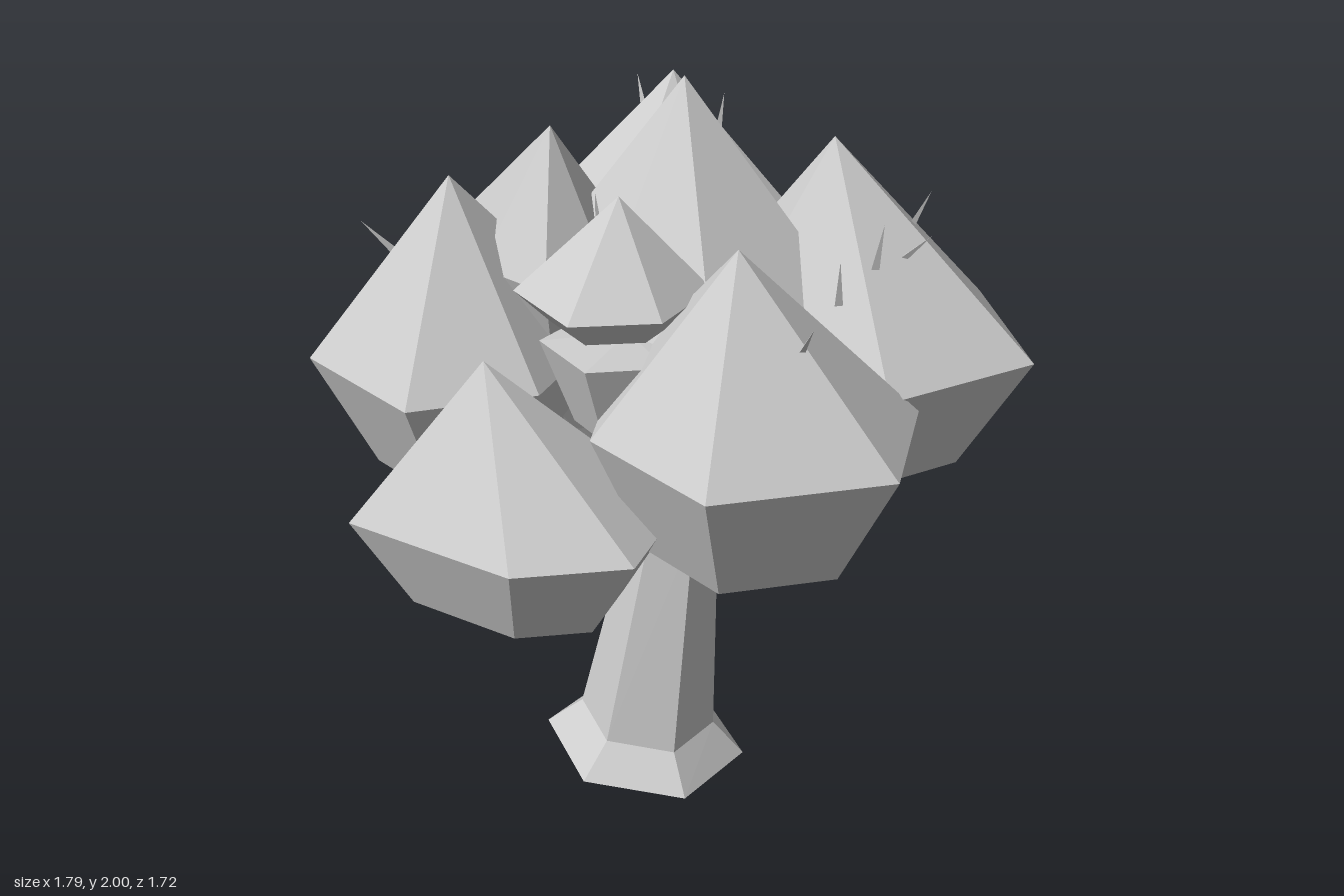
import * as THREE from 'three';

// Skin a stack of rings, listed from top to bottom; a pole is a ring of equal points.
function loft(rings) {
  const pos = [];
  const tri = (...pts) => pts.forEach((p) => pos.push(p[0], p[1], p[2]));
  for (let r = 0; r < rings.length - 1; r++) {
    const up = rings[r], lo = rings[r + 1], n = up.length;
    for (let i = 0; i < n; i++) {
      const j = (i + 1) % n;
      if (lo[i] !== lo[j]) tri(up[i], lo[j], lo[i]);
      if (up[i] !== up[j]) tri(up[i], up[j], lo[j]);
    }
  }
  const g = new THREE.BufferGeometry();
  g.setAttribute('position', new THREE.Float32BufferAttribute(pos, 3));
  g.computeVertexNormals();
  return g;
}

// Faceted leaf clump: peak, widest ring, smaller lower ring, base point.
function clumpGeometry({ peak, ringY, ring, lowY, base }) {
  const [bx, , bz] = base;
  const pts = ring.slice().sort((a, b) =>
    Math.atan2(a[1] - bz, a[0] - bx) - Math.atan2(b[1] - bz, b[0] - bx));
  return loft([
    pts.map(() => peak),
    pts.map(([x, z]) => [x, ringY, z]),
    pts.map(([x, z]) => [bx + (x - bx) * 0.65, lowY, bz + (z - bz) * 0.65]),
    pts.map(() => base),
  ]);
}

function hexRing(cx, cz, radius, yAt) {
  return Array.from({ length: 6 }, (_, i) => {
    const a = THREE.MathUtils.degToRad(16 + 60 * i);
    const x = cx + radius * Math.cos(a), z = cz + radius * Math.sin(a);
    return [x, yAt(x, z), z];
  });
}

const frontRing = [[-0.1, 0.86], [0.34, 0.7], [0.49, 0.45], [0.34, 0.18], [-0.1, 0.32], [-0.25, 0.59]];
const smallRing = [[0.01, 0.43], [0.25, 0.45], [0.37, 0.27], [0.3, 0.06], [0.08, 0.05], [-0.04, 0.22]];

const clumps = {
  crownClump: {
    peak: [0, 2, -0.1], ringY: 1.46, lowY: 1.2, base: [0.02, 1.1, -0.08],
    ring: [[-0.09, -0.5], [-0.42, -0.2], [-0.3, 0.16], [0.1, 0.28], [0.4, 0.14], [0.4, -0.32]],
  },
  backRightClump: {
    peak: [0.22, 1.84, -0.4], ringY: 1.35, lowY: 1.03, base: [0.3, 0.93, -0.39],
    ring: [[0.36, -0.83], [0.74, -0.61], [0.66, -0.19], [0.24, 0.03], [-0.08, -0.2], [-0.07, -0.64]],
  },
  backLeftClump: {
    peak: [-0.355, 1.87, -0.36], ringY: 1.39, lowY: 1.05, base: [-0.28, 0.93, -0.31],
    ring: [[-0.53, -0.75], [-0.9, -0.4], [-0.57, 0.11], [-0.12, 0.1], [0.04, -0.25], [-0.06, -0.65]],
  },
  frontLeftClump: {
    peak: [-0.29, 1.78, 0.4], ringY: 1.32, lowY: 1.01, base: [-0.25, 0.93, 0.36],
    ring: [[-0.74, 0.34], [-0.465, 0.73], [-0.07, 0.7], [0.06, 0.4], [-0.13, 0.02], [-0.55, 0.05]],
  },
  rightClump: {
    peak: [0.455, 1.76, 0.12], ringY: 1.31, lowY: 0.98, base: [0.44, 0.9, 0.06],
    ring: [[0.89, 0.01], [0.69, 0.41], [0.3, 0.43], [0.05, 0.15], [0.25, -0.27], [0.68, -0.27]],
  },
  lowFrontClump: {
    peak: [0.02, 1.44, 0.53], ringY: 1.06, lowY: 0.81, base: [0.08, 0.74, 0.5], ring: frontRing,
  },
  lowBackClump: {
    peak: [-0.16, 1.44, -0.53], ringY: 1.08, lowY: 0.81, base: [-0.1, 0.74, -0.5],
    ring: frontRing.map(([x, z]) => [x - 0.18, -z]),
  },
  smallLeftClump: {
    peak: [-0.17, 1.89, 0.18], ringY: 1.55, lowY: 1.36, base: [-0.2, 1.28, 0.15],
    ring: [[-0.44, -0.07], [-0.52, 0.24], [-0.22, 0.37], [0, 0.33], [0, 0.14], [-0.25, -0.09]],
  },
  smallFrontClump: {
    peak: [0.135, 1.81, 0.21], ringY: 1.59, lowY: 1.51, base: [0.16, 1.46, 0.24], ring: smallRing,
  },
  innerFrontClump: {
    peak: [0.18, 1.48, 0.22], ringY: 1.46, lowY: 1.24, base: [0.18, 1.14, 0.2],
    ring: smallRing.map(([x, z]) => [0.04 + x * 0.85, z * 0.9]),
  },
};

const branches = {
  frontBranch: [0.02, 1.2, 0.25],
  rightBranch: [0.32, 1.15, 0.08],
  backBranch: [-0.14, 1.15, -0.32],
};

// Thorn base point and leaning direction
const thorns = [
  [[-0.54, 1.69, -0.41], [-0.5, 1, -0.15]],
  [[-0.37, 1.59, 0.52], [-0.45, 1, 0.8]],
  [[0.02, 1.67, 0.18], [0, 1, 0.1]],
  [[0.62, 1.54, 0.08], [0.6, 1, 0.1]],
  [[0.46, 1.6, -0.32], [0.15, 1, -0.05]],
  [[0.35, 1.6, -0.55], [0.3, 1, -0.4]],
  [[0.45, 1.58, -0.41], [0.8, 1, -0.6]],
  [[0.46, 1.54, -0.2], [0.1, 1, 0.1]],
  [[-0.31, 1.68, -0.48], [0, 1, -0.2]],
  [[-0.43, 1.61, 0.03], [-0.2, 1, 0.1]],
];

export function createModel() {
  const tree = new THREE.Group();
  tree.name = 'tree';
  const grey = new THREE.MeshStandardMaterial({ color: 0xcccccc, flatShading: true, side: THREE.DoubleSide });
  grey.name = 'plain grey';

  const add = (name, geometry) => {
    const mesh = new THREE.Mesh(geometry, grey);
    mesh.name = name;
    tree.add(mesh);
    return mesh;
  };

  // Leaning six-sided trunk: thin core, tapered body, open flared foot
  add('trunk', loft([
    hexRing(0.02, -0.06, 0.05, () => 1.25),
    hexRing(0.03, -0.055, 0.06, () => 0.83),
    hexRing(0.035, -0.055, 0.115, () => 0.8),
    hexRing(-0.02, 0, 0.19, (x, z) => 0.12 - 0.09 * x + 0.08 * z),
    hexRing(-0.025, 0.005, 0.285, (x, z) => 0.026 - 0.07 * x + 0.09 * z),
  ]));

  // Short branches fanning out from the trunk into the clumps
  const up = new THREE.Vector3(0, 1, 0);
  for (const [name, end] of Object.entries(branches)) {
    const from = new THREE.Vector3(0.03, 0.78, -0.055), to = new THREE.Vector3(...end);
    const dir = to.clone().sub(from);
    const branch = add(name, new THREE.CylinderGeometry(0.05, 0.07, dir.length(), 6, 1, true));
    branch.position.copy(from).add(to).multiplyScalar(0.5);
    branch.quaternion.setFromUnitVectors(up, dir.normalize());
  }

  // Foliage
  for (const [name, spec] of Object.entries(clumps)) add(name, clumpGeometry(spec));

  // Thin thorns on the foliage
  const thornGeometry = new THREE.ConeGeometry(0.012, 0.12, 3).translate(0, 0.05, 0);
  thorns.forEach(([at, lean], i) => {
    const thorn = add(`thorn${i + 1}`, thornGeometry);
    thorn.position.set(...at);
    thorn.quaternion.setFromUnitVectors(up, new THREE.Vector3(...lean).normalize());
  });

  return tree;
}
